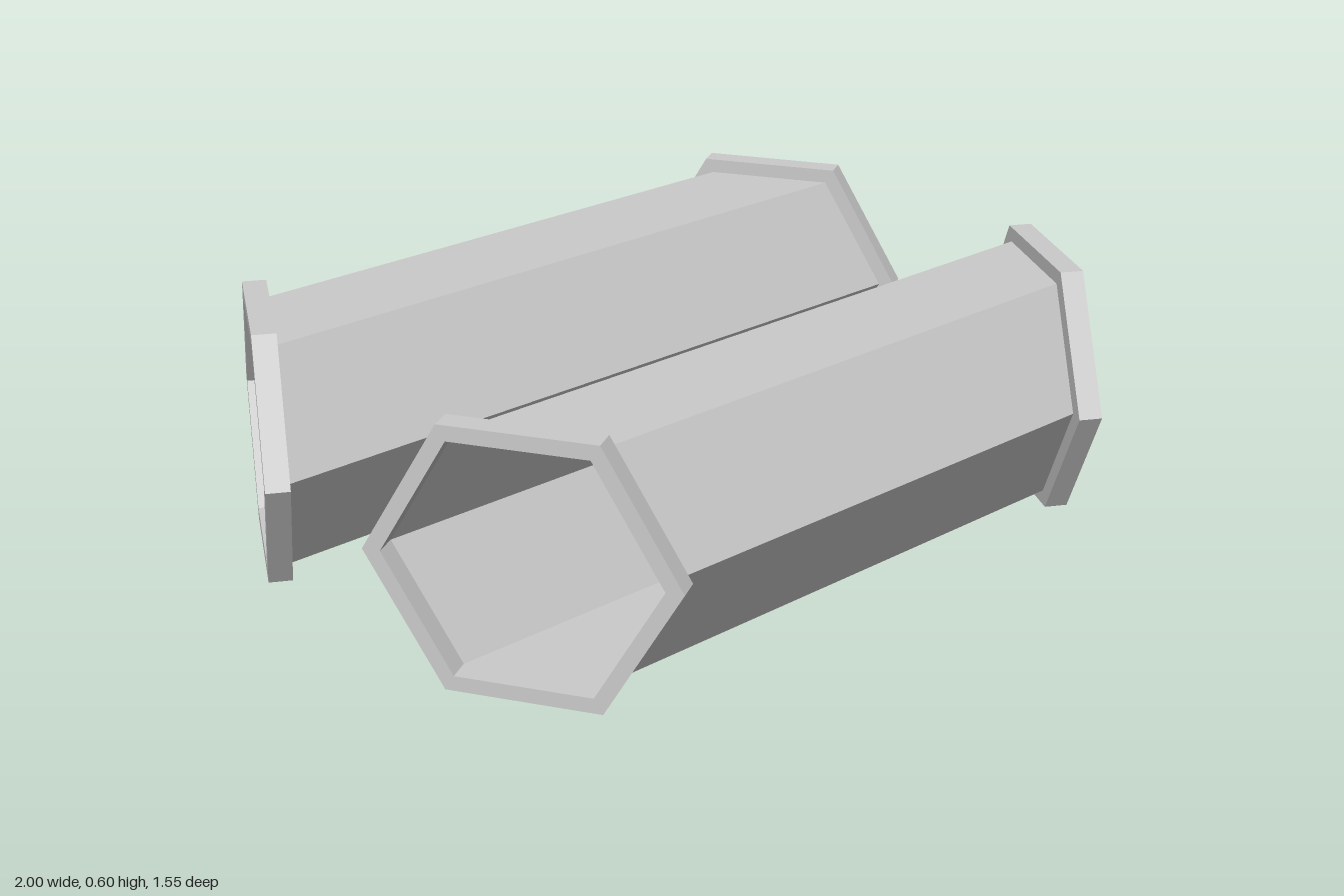
import * as THREE from 'three';

const FLANGE_R = 0.346;   // outer radius of the end rings
const BORE_R = 0.306;     // radius of the hexagonal opening
const THICK = 0.055;      // ring thickness
const TILT = Math.PI / 3; // angle of the mitred ends
const END_X = 0.779, AXIS_Y = 0.3, AXIS_Z = 0.4485;

function hexPoints(r) {
  return Array.from({ length: 6 }, (_, i) =>
    new THREE.Vector2(r * Math.cos(i * Math.PI / 3), r * Math.sin(i * Math.PI / 3)));
}

// Hexagonal ring, extruded outward from the tube end
function flangeGeometry() {
  const shape = new THREE.Shape(hexPoints(FLANGE_R));
  shape.holes.push(new THREE.Path(hexPoints(BORE_R).reverse()));
  return new THREE.ExtrudeGeometry(shape, { depth: THICK, bevelEnabled: false });
}

// Open six-sided tube along x whose ends are cut obliquely
function tubeGeometry() {
  const geo = new THREE.CylinderGeometry(BORE_R, BORE_R, 2, 6, 1, true);
  geo.rotateZ(Math.PI / 2);
  geo.scale(1, 1, Math.sin(TILT));
  const p = geo.attributes.position;
  for (let i = 0; i < p.count; i++) {
    p.setX(i, Math.sign(p.getX(i)) * (END_X - p.getZ(i) / Math.tan(TILT)));
  }
  const flat = geo.toNonIndexed();
  flat.computeVertexNormals();
  return flat;
}

export function createModel() {
  const model = new THREE.Group();
  model.name = 'hexagonalTubes';
  const material = new THREE.MeshStandardMaterial({
    color: 0xcccccc, flatShading: true, side: THREE.DoubleSide,
  });
  const tubeGeo = tubeGeometry();
  const flangeGeo = flangeGeometry();

  // Two identical ducts, the rear one turned half way round
  for (const [name, turn] of [['frontDuct', 0], ['rearDuct', Math.PI]]) {
    const duct = new THREE.Group();
    duct.name = name;
    duct.rotation.y = turn;

    const tube = new THREE.Mesh(tubeGeo, material);
    tube.name = 'tube';
    tube.position.set(0, AXIS_Y, AXIS_Z);
    duct.add(tube);

    // End rings, mirrored left and right
    for (const side of [-1, 1]) {
      const flange = new THREE.Mesh(flangeGeo, material);
      flange.name = side > 0 ? 'leftFlange' : 'rightFlange';
      flange.position.set(side * END_X, AXIS_Y, AXIS_Z);
      flange.rotation.y = side * TILT;
      duct.add(flange);
    }
    model.add(duct);
  }
  return model;
}
